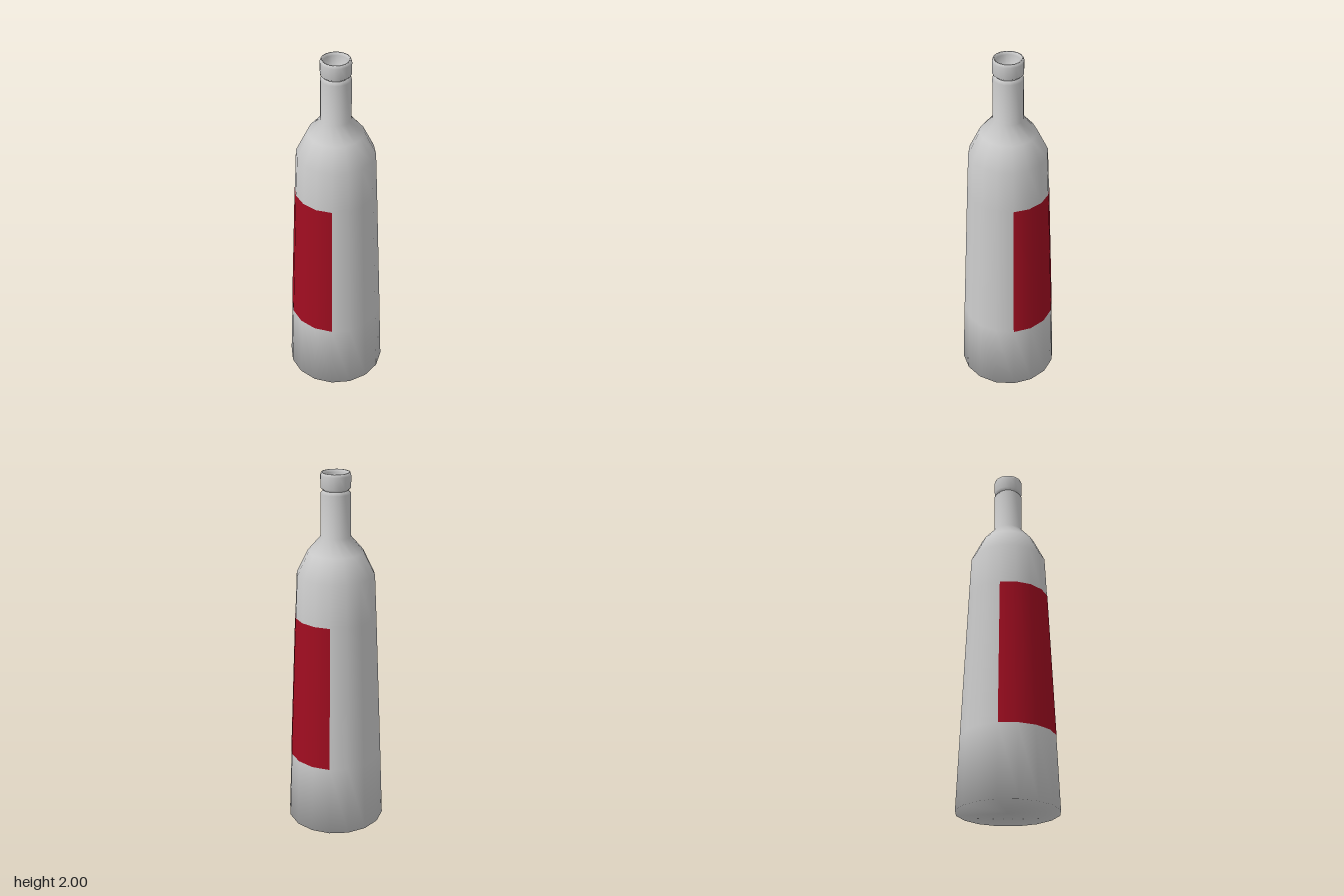
import * as THREE from 'three';

const SIDES = 16;
const LABEL_LOW = [0.257, 0.4];
const LABEL_HIGH = [0.222, 1.22];

const toPoints = (pairs) => pairs.map(([r, y]) => new THREE.Vector2(r, y));

export function createModel() {
  const bottle = new THREE.Group();
  bottle.name = 'bottle';

  const glass = new THREE.MeshStandardMaterial({ color: 0xcccccc, side: THREE.DoubleSide });
  const red = new THREE.MeshStandardMaterial({ color: 0xa00d20 });

  const addLathe = (name, pairs, material, sides = SIDES, start = 0, sweep = Math.PI * 2) => {
    const mesh = new THREE.Mesh(new THREE.LatheGeometry(toPoints(pairs), sides, start, sweep), material);
    mesh.name = name;
    bottle.add(mesh);
  };

  // Base, tapered body, shoulder and neck, up to the groove under the lip
  addLathe('body', [
    [0, 0], [0.273, 0], LABEL_LOW, LABEL_HIGH, [0.211, 1.455],
    [0.15, 1.58], [0.081, 1.66], [0.08, 1.89], [0.066, 1.907],
  ], glass);

  // Lip with a rounded rim and the hollow of the mouth
  addLathe('lip', [
    [0.066, 1.907], [0.08, 1.92], [0.081, 1.985], [0.076, 2],
    [0.069, 2], [0.064, 1.985], [0.062, 1.91], [0, 1.89],
  ], glass);

  // Matching labels on front and back, each four facets wide
  const lift = 0.0015;
  const labelProfile = [LABEL_LOW, LABEL_HIGH].map(([r, y]) => [r + lift, y]);
  [['frontLabel', 0], ['backLabel', Math.PI]].forEach(([name, angle]) => {
    addLathe(name, labelProfile, red, 4, angle - Math.PI / 4, Math.PI / 2);
  });

  return bottle;
}
